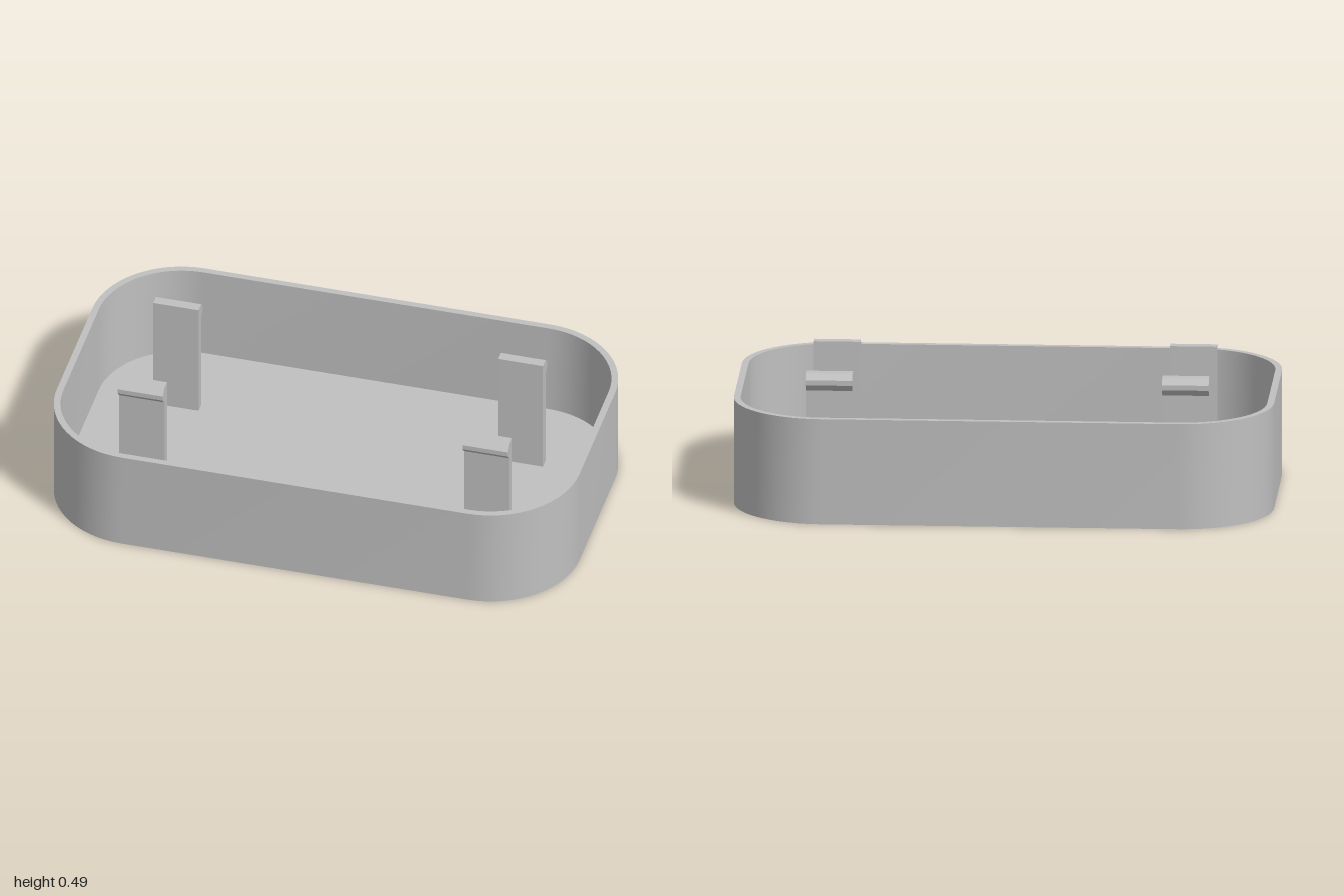
import * as THREE from 'three';
import { toCreasedNormals } from 'three/addons/utils/BufferGeometryUtils.js';

const HALF_X = 1, HALF_Z = 0.595, RADIUS = 0.34;
const HEIGHT = 0.4, WALL = 0.025, FLOOR = 0.025;

// Rounded rectangle in the XZ plane, inset from the outer outline
function outline(inset, y, steps = 16) {
  const points = [];
  const r = RADIUS - inset;
  [[1, 1], [-1, 1], [-1, -1], [1, -1]].forEach(([sx, sz], quarter) => {
    for (let i = 0; i <= steps; i++) {
      const a = (quarter + i / steps) * Math.PI / 2;
      points.push(new THREE.Vector3(
        sx * (HALF_X - RADIUS) + r * Math.cos(a), y,
        sz * (HALF_Z - RADIUS) + r * Math.sin(a)));
    }
  });
  return points;
}

// Open tray: underside, outer wall, rim, inner wall and floor in one skin
function trayGeometry() {
  const rings = [outline(0, 0), outline(0, HEIGHT), outline(WALL, HEIGHT), outline(WALL, FLOOR)];
  const n = rings[0].length;
  const verts = [];
  const tri = (...corners) => corners.forEach(p => verts.push(p.x, p.y, p.z));
  const bottomCentre = new THREE.Vector3(0, 0, 0);
  const floorCentre = new THREE.Vector3(0, FLOOR, 0);
  for (let j = 0; j < n; j++) {
    const k = (j + 1) % n;
    tri(bottomCentre, rings[0][j], rings[0][k]);
    for (let i = 0; i < 3; i++) {
      const lower = rings[i], upper = rings[i + 1];
      tri(lower[j], upper[j], lower[k]);
      tri(lower[k], upper[j], upper[k]);
    }
    tri(rings[3][j], floorCentre, rings[3][k]);
  }
  const geometry = new THREE.BufferGeometry();
  geometry.setAttribute('position', new THREE.Float32BufferAttribute(verts, 3));
  return toCreasedNormals(geometry, 0.5);
}

// Upright snap clip with an outward barb, profile given as (z, y)
function clipGeometry() {
  const profile = [
    [0.226, FLOOR], [0.264, FLOOR], [0.264, 0.427], [0.287, 0.452],
    [0.287, 0.471], [0.264, 0.493], [0.226, 0.493],
  ].map(([z, y]) => new THREE.Vector2(z, y));
  const width = 0.173;
  const geometry = new THREE.ExtrudeGeometry(new THREE.Shape(profile), { depth: width, bevelEnabled: false });
  geometry.translate(0, 0, -width / 2);
  geometry.rotateY(-Math.PI / 2);
  return geometry;
}

export function createModel() {
  const model = new THREE.Group();
  model.name = 'snapFitTray';
  const plastic = new THREE.MeshStandardMaterial({ color: 0xc0c0c0 });
  plastic.name = 'greyPlastic';

  const tray = new THREE.Mesh(trayGeometry(), plastic);
  tray.name = 'tray';
  model.add(tray);

  // Four clips, the rear pair turned so the barbs face backwards
  const clip = clipGeometry();
  for (const [side, x] of [['Left', 0.646], ['Right', -0.673]]) {
    for (const [end, turn] of [['front', 0], ['back', Math.PI]]) {
      const mesh = new THREE.Mesh(clip, plastic);
      mesh.name = `${end}${side}Clip`;
      mesh.position.x = x;
      mesh.rotation.y = turn;
      model.add(mesh);
    }
  }
  return model;
}
